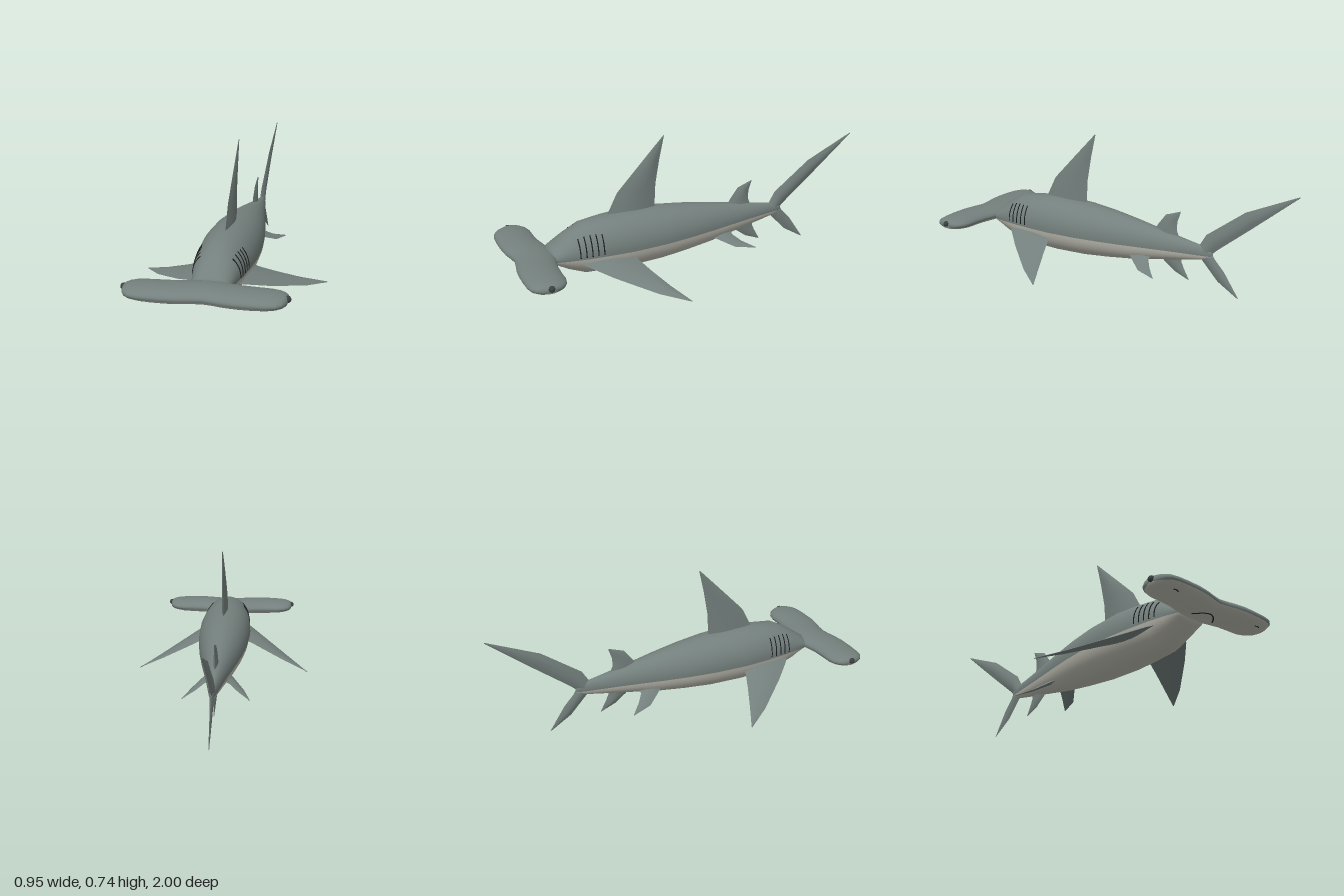
import * as THREE from 'three';
import { toCreasedNormals } from 'three/addons/utils/BufferGeometryUtils.js';

const V = (x, y, z) => new THREE.Vector3(x, y, z);
const mat = (name, color) => {
  const m = new THREE.MeshStandardMaterial({ color, side: THREE.DoubleSide });
  m.name = name;
  return m;
};

// Skin through a list of rings; the winding is turned so that faces point outwards
function loft(rings, closed) {
  const n = rings[0].length, pts = rings.flat(), idx = [];
  for (let i = 0; i < rings.length - 1; i++) {
    for (let j = 0; j < (closed ? n : n - 1); j++) {
      const a = i * n + j, b = i * n + (j + 1) % n;
      idx.push(a, b, a + n, b, b + n, a + n);
    }
  }
  const mid = pts.reduce((s, p) => s.add(p), V(0, 0, 0)).divideScalar(pts.length);
  let volume = 0;
  for (let i = 0; i < idx.length; i += 3) {
    const [a, b, c] = [0, 1, 2].map((k) => pts[idx[i + k]].clone().sub(mid));
    volume += a.dot(b.cross(c));
  }
  if (volume < 0) idx.reverse();
  const g = new THREE.BufferGeometry().setFromPoints(pts);
  g.setIndex(idx);
  g.computeVertexNormals();
  return g;
}

// Body stations from nose to tail: z, half width, top y, bottom y
const BODY = [
  [0.806, 0.002, 0.215, 0.205], [0.802, 0.07, 0.24, 0.18], [0.785, 0.09, 0.252, 0.168],
  [0.71, 0.107, 0.305, 0.122], [0.62, 0.122, 0.352, 0.082], [0.5, 0.135, 0.366, 0.075],
  [0.38, 0.143, 0.372, 0.07], [0.2, 0.136, 0.364, 0.074], [0.05, 0.118, 0.346, 0.087],
  [-0.1, 0.092, 0.322, 0.104], [-0.3, 0.053, 0.284, 0.139], [-0.42, 0.032, 0.262, 0.16],
  [-0.5, 0.019, 0.248, 0.175], [-0.545, 0.009, 0.235, 0.19], [-0.555, 0.001, 0.215, 0.205],
];
// Head stations from the middle outwards: x, front z, back z, top y, bottom y
const HEAD = [
  [0, 0.972, 0.772, 0.252, 0.173], [0.05, 0.98, 0.775, 0.252, 0.173],
  [0.1, 0.991, 0.786, 0.252, 0.173], [0.16, 0.997, 0.799, 0.253, 0.173],
  [0.23, 0.998, 0.803, 0.252, 0.174], [0.29, 0.996, 0.803, 0.249, 0.178],
  [0.33, 0.988, 0.812, 0.246, 0.184], [0.355, 0.97, 0.828, 0.242, 0.19],
  [0.37, 0.945, 0.85, 0.237, 0.197], [0.376, 0.91, 0.885, 0.222, 0.21],
];
const lerpStation = (table, t) => {
  for (let i = 0; i < table.length - 1; i++) {
    const [a, b] = [table[i], table[i + 1]];
    const k = (t - a[0]) / (b[0] - a[0]);
    if (k >= 0 && k <= 1) return a.map((v, c) => v + (b[c] - v) * k);
  }
  return table[table.length - 1];
};
const bodyPoint = ([z, w, top, bottom], a, grow = 0) =>
  V((w + grow) * Math.cos(a), (top + bottom) / 2 + ((top - bottom) / 2 + grow) * Math.sin(a), z);
const headPoint = ([x, front, back, top, bottom], a) =>
  V(x, (top + bottom) / 2 + (top - bottom) / 2 * Math.sin(a), (front + back) / 2 + (front - back) / 2 * Math.cos(a));

// Upper or lower shell, parted along the height splitY
function shell(stations, point, topCol, splitY, upper) {
  const N = 24;
  return loft(stations.map((s) => {
    const [t, b] = [s[topCol], s[topCol + 1]];
    const k = THREE.MathUtils.clamp((splitY - (t + b) / 2) / ((t - b) / 2), -0.9, 0.9);
    const a = Math.asin(k);
    const [from, to] = upper ? [a, Math.PI - a] : [Math.PI - a, 2 * Math.PI + a];
    return Array.from({ length: N + 1 }, (_, j) => point(s, from + (to - from) * j / N));
  }), false);
}

// Fin with a lens section; stations are [leading point, trailing point, half thickness]
function fin(stations, normal) {
  const n = normal.clone().normalize(), N = 6;
  const rings = stations.map(([lead, trail, th]) => {
    const ring = [];
    for (let j = 0; j < 2 * N; j++) {
      const u = j <= N ? j / N : 2 - j / N;
      const h = th * Math.sin(Math.PI * u) * (j <= N ? 1 : -1);
      ring.push(V(...lead).lerp(V(...trail), u).addScaledVector(n, h));
    }
    return ring;
  });
  return toCreasedNormals(loft(rings, true), 0.6);
}
const uprightFin = (rows) => fin(rows.map(([z1, y1, z2, y2, th]) => [[0, y1, z1], [0, y2, z2], th]), V(1, 0, 0));
const line = (pts, r) => new THREE.TubeGeometry(new THREE.CatmullRomCurve3(pts), 16, r, 6);

export function createModel() {
  const grey = mat('back grey', 0x74807d);
  const pale = mat('belly pale', 0xb9b9ae);
  const eyeMat = mat('eye dark', 0x3a4040);
  const dark = mat('line black', 0x1b1e1f);

  const model = new THREE.Group();
  model.name = 'hammerheadShark';
  const add = (name, geometry, material) => {
    const m = new THREE.Mesh(geometry, material);
    m.name = name;
    model.add(m);
    return m;
  };

  // Body and head in two tones
  const head = [...HEAD.slice(1).reverse().map(([x, ...r]) => [-x, ...r]), ...HEAD];
  add('bodyBack', shell(BODY, bodyPoint, 2, 0.2, true), grey);
  add('bodyBelly', shell(BODY, bodyPoint, 2, 0.2, false), pale);
  add('headTop', shell(head, headPoint, 3, 0.203, true), grey);
  add('headUnderside', shell(head, headPoint, 3, 0.203, false), pale);

  // Upright fins: leading z, y, trailing z, y, half thickness
  add('dorsalFin', uprightFin([
    [0.49, 0.34, 0.215, 0.34, 0.018], [0.42, 0.475, 0.206, 0.49, 0.013],
    [0.28, 0.62, 0.182, 0.62, 0.008], [0.158, 0.745, 0.154, 0.742, 0.002]]), grey);
  add('secondDorsalFin', uprightFin([
    [-0.21, 0.28, -0.365, 0.255, 0.013], [-0.235, 0.32, -0.345, 0.305, 0.011],
    [-0.28, 0.378, -0.348, 0.35, 0.007], [-0.363, 0.407, -0.366, 0.402, 0.002]]), grey);
  add('analFin', uprightFin([
    [-0.235, 0.17, -0.375, 0.185, 0.012], [-0.275, 0.125, -0.375, 0.14, 0.01],
    [-0.335, 0.08, -0.39, 0.105, 0.006], [-0.418, 0.046, -0.42, 0.05, 0.002]]), grey);
  add('tailUpperLobe', uprightFin([
    [-0.47, 0.235, -0.54, 0.205, 0.016], [-0.515, 0.31, -0.585, 0.245, 0.013],
    [-0.725, 0.463, -0.765, 0.388, 0.008], [-0.998, 0.584, -1, 0.58, 0.002]]), grey);
  add('tailLowerLobe', uprightFin([
    [-0.465, 0.205, -0.545, 0.225, 0.012], [-0.5, 0.165, -0.565, 0.19, 0.01],
    [-0.585, 0.073, -0.62, 0.13, 0.006], [-0.7, 0.002, -0.702, 0.006, 0.002]]), grey);

  for (const [side, s] of [['left', 1], ['right', -1]]) {
    const paired = (rows) => fin(rows.map(([a, b, th]) =>
      [[s * a[0], a[1], a[2]], [s * b[0], b[1], b[2]], th]), V(s * 0.35, 1, 0));
    add(side + 'PectoralFin', paired([
      [[0.09, 0.18, 0.67], [0.1, 0.175, 0.375], 0.016], [[0.135, 0.165, 0.635], [0.15, 0.155, 0.37], 0.015],
      [[0.23, 0.125, 0.535], [0.235, 0.122, 0.335], 0.011], [[0.38, 0.068, 0.36], [0.35, 0.08, 0.283], 0.006],
      [[0.474, 0.041, 0.228], [0.472, 0.043, 0.224], 0.002]]), grey);
    add(side + 'PelvicFin', paired([
      [[0.05, 0.155, -0.08], [0.035, 0.155, -0.22], 0.01], [[0.085, 0.133, -0.125], [0.065, 0.14, -0.215], 0.009],
      [[0.138, 0.1, -0.195], [0.11, 0.112, -0.25], 0.005], [[0.175, 0.088, -0.303], [0.173, 0.089, -0.306], 0.002]]), grey);

    // Eyes at the tips of the head
    const eye = add(side + 'Eye', new THREE.SphereGeometry(0.016, 20, 14), eyeMat);
    eye.position.set(s * 0.373, 0.223, 0.9);

    // Five gill slits wrapped on the flank
    [0.665, 0.635, 0.605, 0.575, 0.545].forEach((z, i) => {
      const st = lerpStation(BODY, z), pts = [];
      for (let k = 0; k <= 8; k++) {
        const p = bodyPoint(st, -0.05 + k / 8 * (0.9 - i * 0.03), 0.0005);
        pts.push(V(s * p.x, p.y, p.z));
      }
      add(side + 'GillSlit' + (i + 1), line(pts, 0.003), dark);
    });

    // Nostril below the front edge
    add(side + 'Nostril', line([V(s * 0.26, 0.182, 0.951), V(s * 0.275, 0.183, 0.954), V(s * 0.29, 0.184, 0.951)], 0.003), dark);
  }

  // Curved mouth below the head
  const mouth = [];
  for (let k = -6; k <= 6; k++) {
    const x = k / 6 * 0.07, z = 0.905 - 0.05 * (k / 6) ** 2;
    const [, f, b, t, bo] = lerpStation(HEAD, Math.abs(x));
    const c = (z - (f + b) / 2) / ((f - b) / 2);
    mouth.push(V(x, (t + bo) / 2 - (t - bo) / 2 * Math.sqrt(1 - c * c), z));
  }
  add('mouth', line(mouth, 0.0035), dark);
  return model;
}
